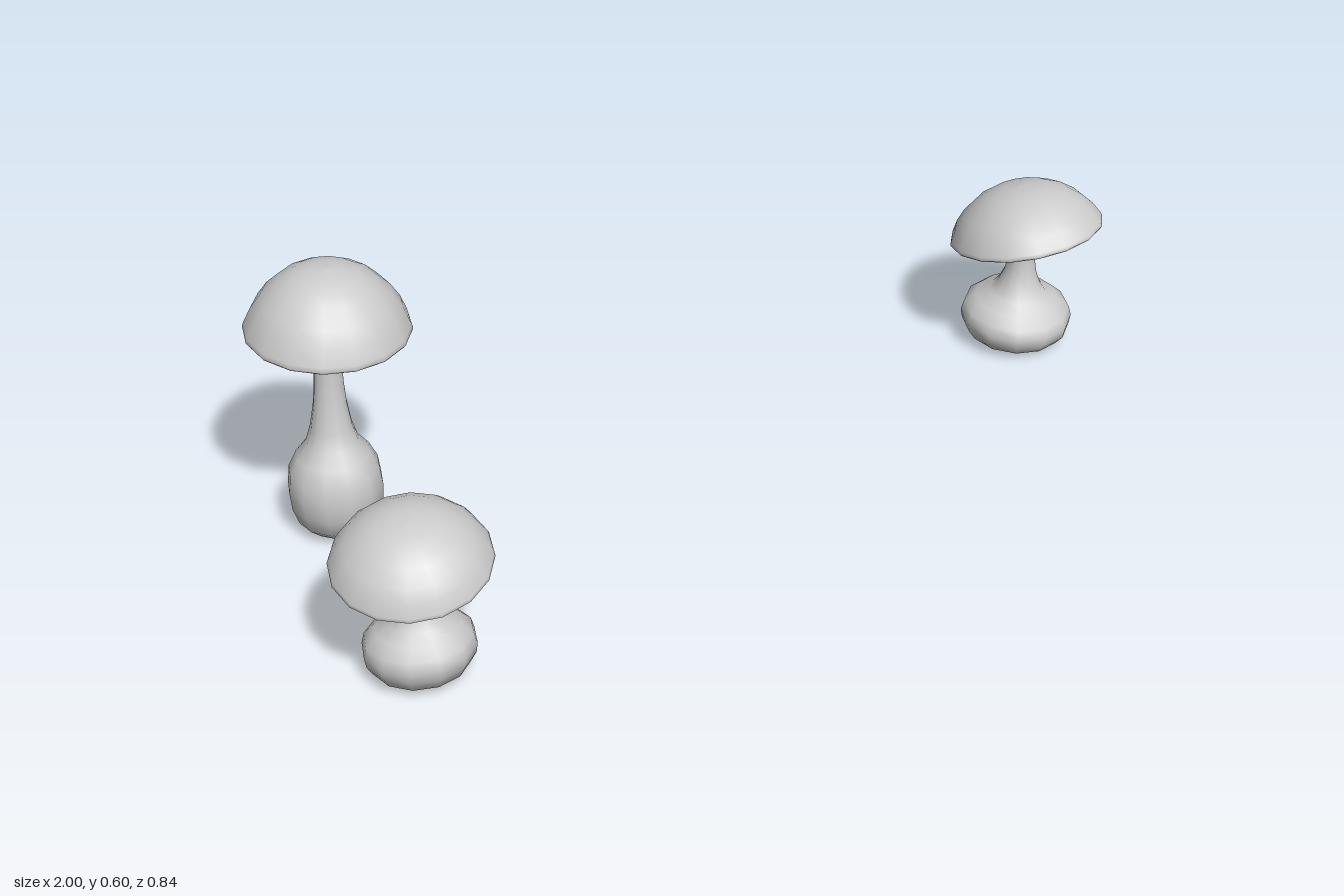
import * as THREE from 'three';
import { mergeVertices } from 'three/addons/utils/BufferGeometryUtils.js';

const material = new THREE.MeshStandardMaterial({ color: 0xcccccc });

// base: bulb centre [x, z]; top: cap centre [x, y, z]; slope: rise of the cap rim along [x, z]
const MUSHROOMS = [
  { name: 'frontMushroom', base: [-0.845, 0.28], top: [-0.845, 0.25, 0.272], neck: -0.843, neckZ: 0.276,
    bulbR: 0.111, bulbY: 1, bulbTilt: 0.08, capR: 0.156, capH: 0.1, slope: [0.08, -0.2] },
  { name: 'tallMushroom', base: [-0.826, -0.24], top: [-0.807, 0.462, -0.25], neck: -0.812, neckZ: -0.253,
    bulbR: 0.098, bulbY: 1.7, bulbTilt: 0, capR: 0.167, capH: 0.138, slope: [-0.05, -0.045] },
  { name: 'sideMushroom', base: [0.812, -0.25], top: [0.822, 0.274, -0.243], neck: 0.818, neckZ: -0.244,
    bulbR: 0.126, bulbY: 1, bulbTilt: -0.07, capR: 0.174, capH: 0.112, slope: [0.11, 0.21] },
];

const NECK_R = 0.029;
// [swelling from neck (0) to full bulb (1), height]
const BULB = [[0.42, 0.003], [0.8, 0.018], [0.96, 0.04], [1, 0.062], [0.93, 0.085],
  [0.68, 0.106], [0.36, 0.122], [0.2, 0.143], [0.08, 0.172], [0.02, 0.2]];
// [radius, height] as fractions of the cap size: underside, rounded rim, dome
const CAP = [[0, 0.12], [0.3, 0.1], [0.65, 0.05], [0.94, -0.01], [0.98, -0.02], [1, 0.015], [0.985, 0.08],
  [0.9, 0.32], [0.78, 0.54], [0.6, 0.76], [0.4, 0.91], [0.2, 0.98], [0, 1]];

// Lathed bulb and neck, bent sideways toward the cap
function stemGeometry(m) {
  const pts = [new THREE.Vector2(0, 0)];
  for (const [w, y] of BULB) pts.push(new THREE.Vector2(NECK_R + (m.bulbR - NECK_R) * w, y * m.bulbY));
  const from = pts[pts.length - 1].y, end = m.top[1] + 0.03;
  for (let i = 1; i <= 4; i++) pts.push(new THREE.Vector2(NECK_R, from + (end - from) * i / 4));

  let geo = new THREE.LatheGeometry(pts, 12);
  const p = geo.attributes.position;
  for (let i = 0; i < p.count; i++) {
    const x = p.getX(i), y = p.getY(i), z = p.getZ(i);
    const t = THREE.MathUtils.smoothstep(y, 0.06 * m.bulbY, end);
    const tilt = m.bulbTilt * z * Math.min(1, y / 0.03);
    p.setXYZ(i,
      x + THREE.MathUtils.lerp(m.base[0], m.neck, t),
      y + tilt,
      z + THREE.MathUtils.lerp(m.base[1], m.neckZ, t));
  }
  geo.deleteAttribute('uv');
  geo.deleteAttribute('normal');
  geo = mergeVertices(geo, 1e-5);
  geo.computeVertexNormals();
  return geo;
}

function capGeometry(m) {
  return new THREE.LatheGeometry(CAP.map(([r, y]) => new THREE.Vector2(r * m.capR, y * m.capH)), 16);
}

export function createModel() {
  const model = new THREE.Group();
  model.name = 'mushrooms';
  for (const m of MUSHROOMS) {
    const group = new THREE.Group();
    group.name = m.name;

    const stem = new THREE.Mesh(stemGeometry(m), material);
    stem.name = 'stem';

    // Cap leaning along its rim slope
    const cap = new THREE.Mesh(capGeometry(m), material);
    cap.name = 'cap';
    cap.position.set(...m.top);
    const normal = new THREE.Vector3(-m.slope[0], 1, -m.slope[1]).normalize();
    cap.quaternion.setFromUnitVectors(new THREE.Vector3(0, 1, 0), normal);

    group.add(stem, cap);
    model.add(group);
  }
  return model;
}
